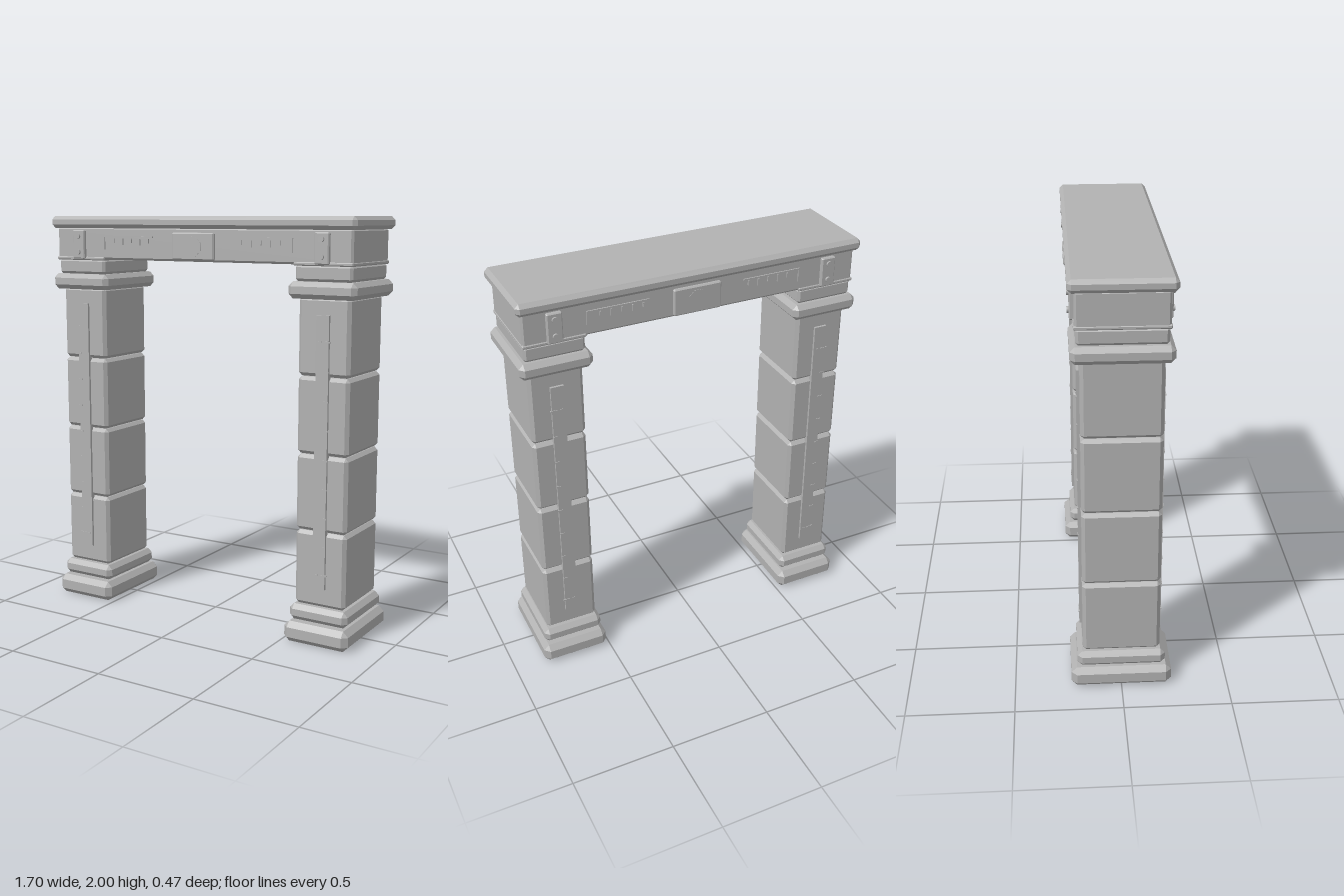
import * as THREE from 'three';
import { ConvexGeometry } from 'three/addons/geometries/ConvexGeometry.js';

const stone = new THREE.MeshStandardMaterial({ color: 0xb2b2b2 });
stone.name = 'grey stone';

// Box with all edges chamfered by c, spanning y0 to y1
function block(name, x, y0, y1, z, w, d, c) {
  const h = y1 - y0, pts = [];
  for (const sx of [-1, 1]) for (const sy of [-1, 1]) for (const sz of [-1, 1]) {
    const X = w / 2, Y = h / 2, Z = d / 2;
    pts.push(
      new THREE.Vector3(sx * X, sy * (Y - c), sz * (Z - c)),
      new THREE.Vector3(sx * (X - c), sy * Y, sz * (Z - c)),
      new THREE.Vector3(sx * (X - c), sy * (Y - c), sz * Z));
  }
  return place(new THREE.Mesh(new ConvexGeometry(pts), stone), name, x, (y0 + y1) / 2, z);
}

function box(name, x, y, z, w, h, d) {
  return place(new THREE.Mesh(new THREE.BoxGeometry(w, h, d), stone), name, x, y, z);
}

function place(mesh, name, x, y, z) {
  mesh.name = name;
  mesh.position.set(x, y, z);
  return mesh;
}

// Disc facing +z or -z
function disc(name, x, y, z, r, depth, sides) {
  const g = new THREE.CylinderGeometry(r, r, depth, sides);
  g.rotateY(Math.PI / sides).rotateX(Math.PI / 2);
  return place(new THREE.Mesh(g, stone), name, x, y, z);
}

function column(side) {
  const g = new THREE.Group();
  g.name = side > 0 ? 'leftColumn' : 'rightColumn';
  const x = side * 0.68;
  // Stepped base
  g.add(block('plinth', x, 0, 0.1, 0, 0.334, 0.47, 0.026));
  g.add(block('baseMoulding', x, 0.105, 0.182, 0, 0.302, 0.41, 0.022));
  // Shaft of four stacked blocks
  for (let i = 0; i < 4; i++) {
    const y = 0.184 + i * 0.365;
    g.add(block('shaftBlock', x, y, y + 0.362, 0, 0.26, 0.36, 0.016));
  }
  // Capital
  g.add(block('capitalMoulding', x, 1.632, 1.71, 0, 0.342, 0.442, 0.022));
  g.add(block('capitalNeck', x, 1.71, 1.785, 0, 0.285, 0.39, 0.012));
  g.add(block('capitalBand', x, 1.78, 1.798, 0, 0.296, 0.408, 0.005));
  // Inlay strips with graduation marks, front and back
  for (const f of [-1, 1]) {
    g.add(box('inlayStrip', x, 0.918, f * 0.18, 0.064, 1.285, 0.024));
    for (let i = 0; i < 9; i++) {
      const end = i === 0 || i === 8;
      const y = 0.345 + i * 0.137;
      g.add(box('stripMark', x + side * 0.024, y, f * 0.192, end ? 0.034 : 0.022, 0.006, 0.006));
      if (end) g.add(box('stripMark', x - side * 0.012, y, f * 0.192, 0.014, 0.006, 0.006));
    }
  }
  return g;
}

function lintel() {
  const g = new THREE.Group();
  g.name = 'lintel';
  g.add(block('beam', 0, 1.785, 1.945, 0, 1.65, 0.4, 0.01));
  g.add(block('topSlab', 0, 1.94, 2, 0, 1.7, 0.456, 0.018));
  for (const f of [-1, 1]) {
    // Central panel with a medallion
    g.add(block('centrePanel', 0, 1.793, 1.922, f * 0.2, 0.236, 0.03, 0.006));
    g.add(disc('medallion', 0, 1.857, f * 0.215, 0.05, 0.004, 8));
    for (const s of [-1, 1]) {
      // Bolted end bracket
      const x = s * 0.68;
      g.add(block('bracket', x, 1.787, 1.93, f * 0.203, 0.072, 0.03, 0.005));
      for (const y of [1.822, 1.9]) g.add(disc('bolt', x, y, f * 0.219, 0.014, 0.016, 10));
      // Engraved-style scale: rail, end stop and ticks
      g.add(box('scaleRail', s * 0.383, 1.899, f * 0.201, 0.295, 0.007, 0.01));
      g.add(box('scaleStop', s * 0.527, 1.868, f * 0.201, 0.007, 0.065, 0.01));
      for (let i = 0; i < 5; i++) {
        const h = i % 2 ? 0.032 : 0.022;
        g.add(box('scaleTick', s * (0.262 + i * 0.051), 1.89 - h / 2, f * 0.201, 0.006, h, 0.01));
      }
    }
  }
  return g;
}

export function createModel() {
  const model = new THREE.Group();
  model.name = 'stoneGateway';
  model.add(column(-1), column(1), lintel());
  return model;
}
